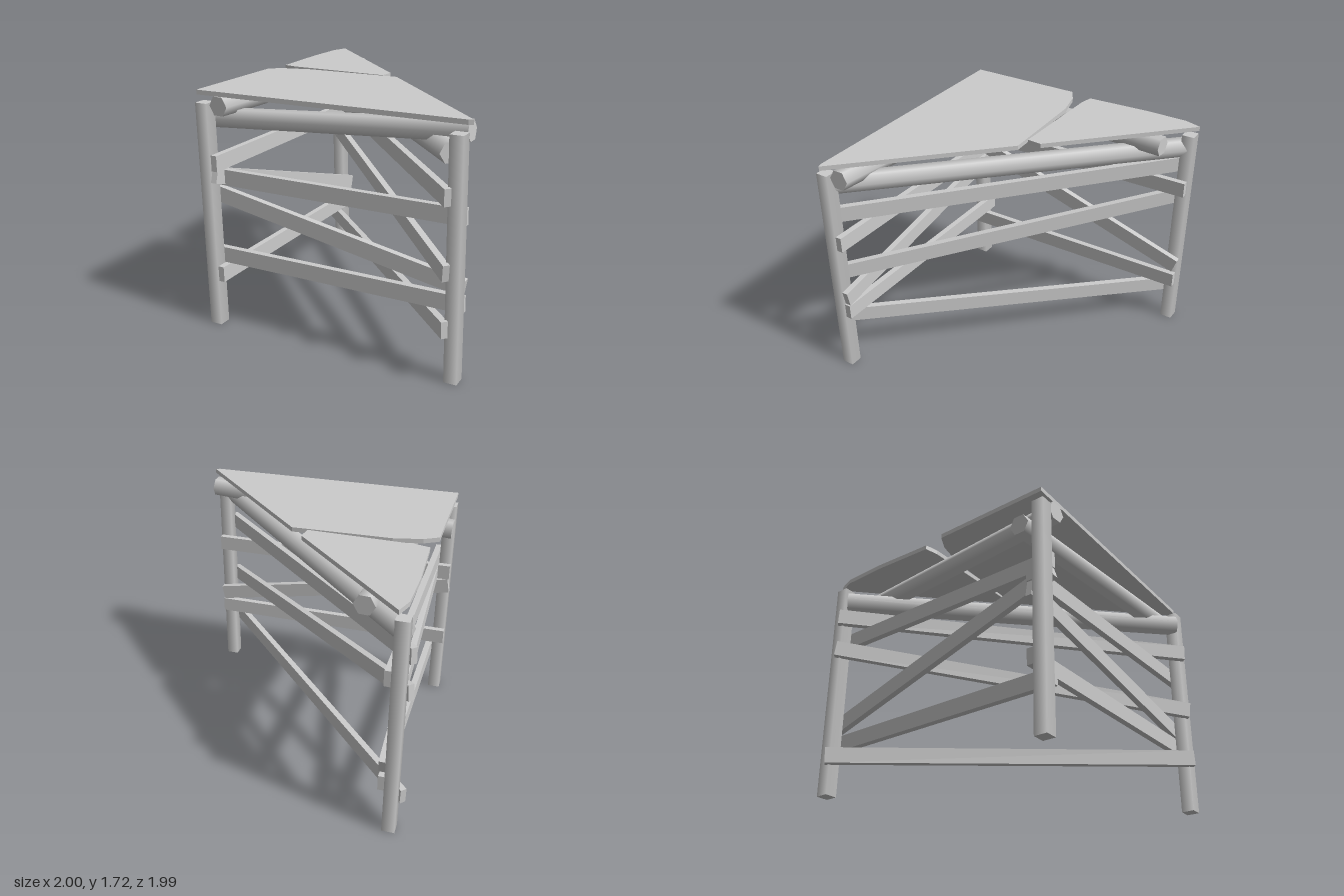
import * as THREE from 'three';

const material = new THREE.MeshStandardMaterial({ color: 0xcccccc });

function add(parent, name, geometry) {
  const mesh = new THREE.Mesh(geometry, material);
  mesh.name = name;
  parent.add(mesh);
  return mesh;
}

// Places a part whose length runs along z so that it joins two points
function span(mesh, a, b) {
  const from = new THREE.Vector3(...a), to = new THREE.Vector3(...b);
  mesh.position.copy(from).add(to).multiplyScalar(0.5);
  mesh.lookAt(to);
}

function plank(parent, name, a, b) {
  const length = new THREE.Vector3(...a).distanceTo(new THREE.Vector3(...b));
  span(add(parent, name, new THREE.BoxGeometry(0.045, 0.113, length)), a, b);
}

// Six-sided smooth log, flat side up
function log(parent, name, a, b) {
  const length = new THREE.Vector3(...a).distanceTo(new THREE.Vector3(...b));
  const geometry = new THREE.CylinderGeometry(0.073, 0.073, length, 6, 1, false, Math.PI / 2);
  geometry.rotateX(Math.PI / 2);
  span(add(parent, name, geometry), a, b);
}

// Flat board cut to an outline of [x, z] points
function board(parent, name, outline) {
  const shape = new THREE.Shape(outline.map(([x, z]) => new THREE.Vector2(x, -z)));
  const geometry = new THREE.ExtrudeGeometry(shape, { depth: 0.032, bevelEnabled: false });
  geometry.rotateX(-Math.PI / 2);
  add(parent, name, geometry).position.y = 1.683;
}

export function createModel() {
  const model = new THREE.Group();
  model.name = 'triangularTable';

  // Three four-sided posts at the corners of a right triangle
  const posts = { frontRightLeg: [-0.91, 0.9], frontLeftLeg: [0.917, 0.9], backLeg: [-0.91, -0.92] };
  for (const [name, [x, z]] of Object.entries(posts)) {
    const geometry = new THREE.CylinderGeometry(0.064, 0.064, 1.63, 4, 1, false, Math.PI / 4);
    add(model, name, geometry).position.set(x, 0.815, z);
  }

  // Front planks: [height at -x end, height at +x end]
  for (const [y0, y1] of [[1.098, 1.098], [0.985, 0.63], [0.515, 0.515]])
    plank(model, 'frontPlank', [-0.955, y0, 0.832], [0.955, y1, 0.832]);

  // Side planks: [height at front, height at back]
  for (const [y0, y1] of [[1.215, 1.215], [1.135, 0.535], [0.398, 0.398]])
    plank(model, 'sidePlank', [-0.842, y0, 0.935], [-0.842, y1, -0.955]);

  // Planks on the long diagonal side: [height at back, height at front]
  for (const [y0, y1] of [[1.365, 1.255], [1.1, 0.77], [0.27, 0.388]])
    plank(model, 'diagonalPlank', [-0.983, y0, -0.89], [0.885, y1, 0.978]);

  // Logs carrying the top
  log(model, 'sideLog', [-0.78, 1.617, 0.93], [-0.65, 1.617, -0.82]);
  log(model, 'frontLog', [-0.955, 1.492, 0.755], [0.945, 1.62, 0.765]);
  log(model, 'diagonalLog', [-0.92, 1.517, -0.88], [0.88, 1.517, 0.93]);

  // Two irregular boards with a narrow gap between them
  board(model, 'largeTopBoard', [
    [-0.95, 0.93], [0.965, 0.89], [0.995, 0.877], [0.05, -0.057],
    [-0.65, -0.032], [-0.85, 0.016], [-0.95, 0.075],
  ]);
  board(model, 'smallTopBoard', [
    [-0.89, -0.99], [-0.93, -0.87], [-0.937, -0.565], [-0.915, -0.1],
    [-0.82, -0.08], [-0.065, -0.068], [-0.055, -0.172],
  ]);

  return model;
}
